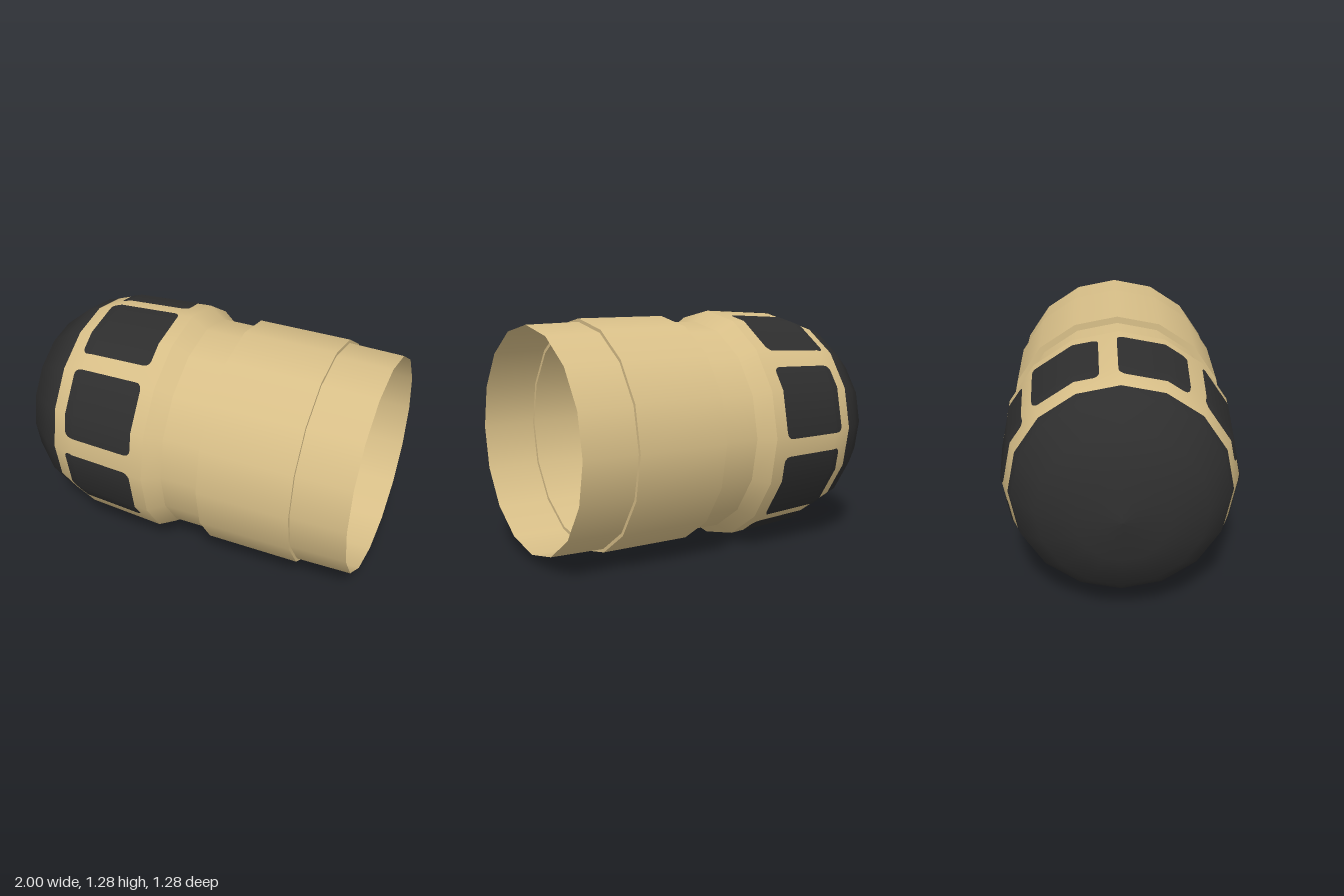
import * as THREE from 'three';

const SIDES = 16, CY = 0.643, STEP = Math.PI * 2 / SIDES, DEG = Math.PI / 180;

export function createModel() {
  const group = new THREE.Group();
  const tan = new THREE.MeshStandardMaterial({ color: 0xd8bf88, side: THREE.DoubleSide });
  tan.name = 'sand tan';
  const dark = new THREE.MeshStandardMaterial({ color: 0x2e2e2e, side: THREE.DoubleSide });
  dark.name = 'charcoal';

  const add = (name, geo, mat) => {
    const m = new THREE.Mesh(geo, mat);
    m.name = name;
    group.add(m);
    return m;
  };

  // Profile of [x, radius] pairs turned around the x axis
  const turn = (profile) => {
    const geo = new THREE.LatheGeometry(profile.map(([x, r]) => new THREE.Vector2(r, x)), SIDES);
    geo.rotateZ(-Math.PI / 2);
    geo.translate(0, CY, 0);
    return geo;
  };

  // Rounded nose: dark cap running smoothly into a tan band
  const nose = [[-1, 0], [-0.97, 0.23], [-0.89, 0.425], [-0.74, 0.55], [-0.674, 0.571], [-0.535, 0.617], [-0.105, 0.642]];
  const noseGeo = turn(nose);
  const perSide = (nose.length - 1) * 6, capCount = 4 * 6;
  for (let i = 0; i < SIDES; i++) {
    noseGeo.addGroup(i * perSide, capCount, 0);
    noseGeo.addGroup(i * perSide + capCount, perSide - capCount, 1);
  }
  add('nose', noseGeo, [dark, tan]);

  // Open tubular body, one piece per crisp section
  const sections = {
    shoulder: [[-0.105, 0.642], [-0.02, 0.583]],
    neck: [[-0.02, 0.583], [0.2, 0.583]],
    sleeveFrontLip: [[0.2, 0.583], [0.2, 0.62]],
    sleeve: [[0.2, 0.62], [0.705, 0.62]],
    sleeveRearLip: [[0.705, 0.62], [0.705, 0.583]],
    endTube: [[0.705, 0.602], [1, 0.596]],
  };
  for (const [name, profile] of Object.entries(sections)) add(name, turn(profile), tan);

  // Radius of the nose band at x, and of its flat-sided outline at an angle
  const bandRadius = (x) => x < -0.535
    ? THREE.MathUtils.mapLinear(x, -0.674, -0.535, 0.571, 0.617)
    : THREE.MathUtils.mapLinear(x, -0.535, -0.105, 0.617, 0.642);
  const facet = (a) => Math.cos(STEP / 2) / Math.cos(THREE.MathUtils.euclideanModulo(a, STEP) - STEP / 2);

  // Rounded panel that follows the facets of the band
  const panelGeometry = (offset) => {
    const x0 = -0.592, x1 = -0.18, c = 0.035, mid = 28 * DEG, half = 18 * DEG, round = 3.2 * DEG;
    const xs = [-0.535];
    for (let i = 0; i <= 5; i++) {
      const d = c * (1 - Math.cos(i / 5 * Math.PI / 2));
      xs.push(x0 + d, x1 - d);
    }
    xs.sort((a, b) => a - b);
    const pos = [], nor = [], index = [];
    xs.forEach((x, i) => {
      const t = Math.max(0, 1 - Math.min(x - x0, x1 - x) / c);
      const h = half - round * (1 - Math.sqrt(Math.max(0, 1 - t * t)));
      const lo = mid - h, hi = mid + h;
      [lo, STEP, Math.min(2 * STEP, hi), hi].forEach((a, j) => {
        const r = bandRadius(x) * facet(a) + offset;
        pos.push(x, CY + r * Math.sin(a), r * Math.cos(a));
        const n = new THREE.Vector3(x < -0.535 ? -0.25 : -0.1, Math.sin(a), Math.cos(a)).normalize();
        nor.push(n.x, n.y, n.z);
        if (i && j) {
          const q = i * 4 + j, p = q - 4;
          index.push(p - 1, q - 1, q, p - 1, q, p);
        }
      });
    });
    const geo = new THREE.BufferGeometry();
    geo.setAttribute('position', new THREE.Float32BufferAttribute(pos, 3));
    geo.setAttribute('normal', new THREE.Float32BufferAttribute(nor, 3));
    geo.setIndex(index);
    return geo.translate(0, -CY, 0);
  };

  // Eight dark panels around the band, on its outer and inner faces
  for (const [name, offset] of [['outerPanel', 0.003], ['innerPanel', -0.003]]) {
    const geo = panelGeometry(offset);
    for (let k = 0; k < 8; k++) {
      const panel = add(name + (k + 1), geo, dark);
      panel.position.y = CY;
      panel.rotation.x = k * Math.PI / 4;
    }
  }
  return group;
}
